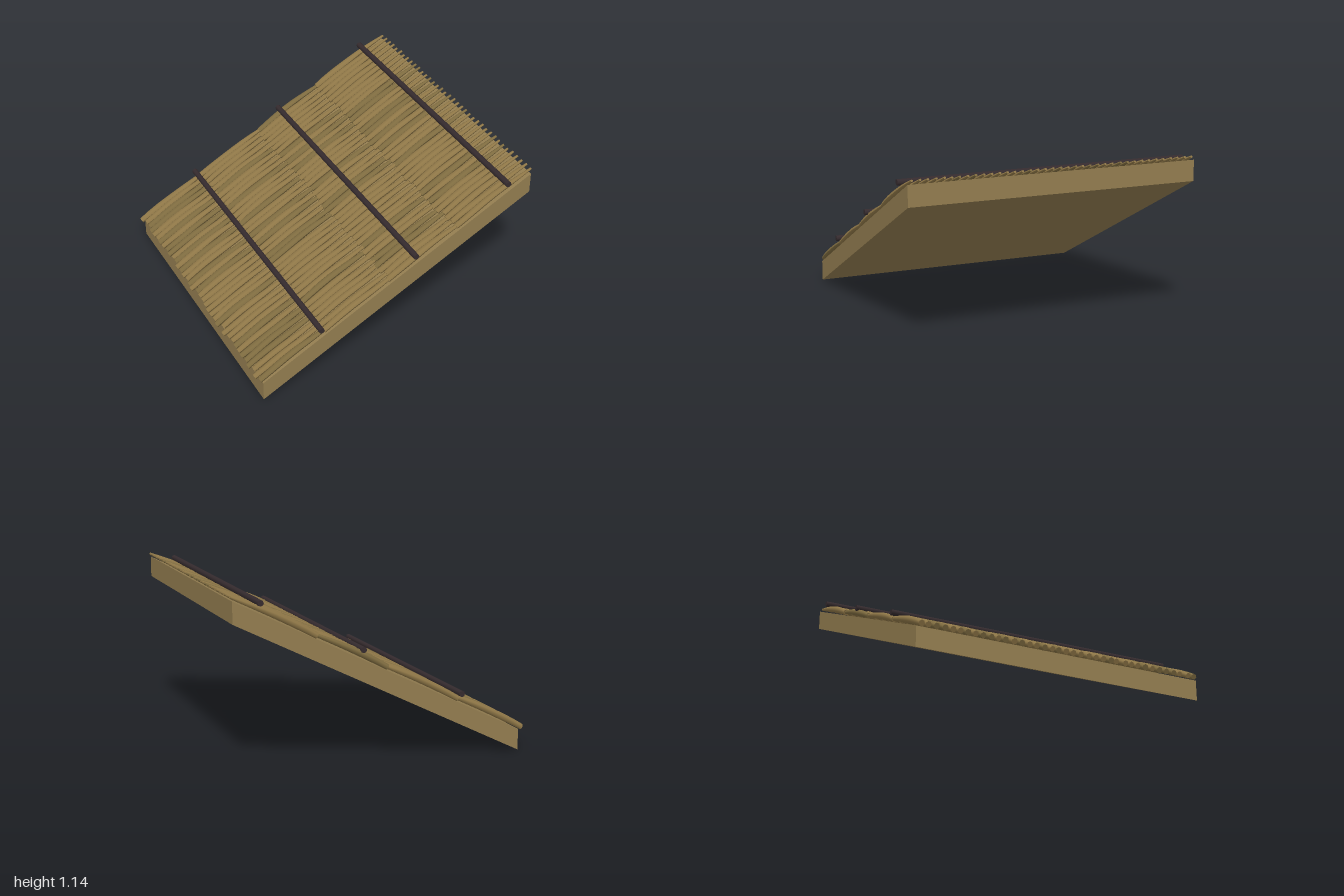
import * as THREE from 'three';
import { mergeGeometries } from 'three/addons/utils/BufferGeometryUtils.js';

const SLOPE = Math.atan(0.5);
const COS = Math.cos(SLOPE);

function seeded(seed) {
  return () => {
    seed = (seed * 16807) % 2147483647;
    return seed / 2147483647;
  };
}

// One tapered reed along +x, bowed upwards in its middle; y is height above the board
function reed(x0, x1, z, rand) {
  const g = new THREE.CylinderGeometry(1, 1, 1, 7, 8);
  g.rotateZ(-Math.PI / 2);
  const p = g.attributes.position;
  const bend = (rand() - 0.5) * 0.012;
  const fat = 0.94 + rand() * 0.12;
  const phase = rand() * 6.28;
  for (let i = 0; i < p.count; i++) {
    const t = p.getX(i) + 0.5;
    const bow = Math.sin(Math.PI * Math.pow(t, 0.9));
    const r = fat * (0.019 - 0.011 * t * t + 0.005 * bow);
    const lift = 0.021 - 0.004 * t + 0.012 * bow;
    const sway = bend * bow + 0.002 * Math.sin(t * 9 + phase);
    p.setXYZ(i, x0 + (x1 - x0) * t, lift + p.getY(i) * r, z + sway + p.getZ(i) * r);
  }
  g.computeVertexNormals();
  return g;
}

export function createModel() {
  const root = new THREE.Group();
  root.name = 'thatchedRoofPanel';
  const board = new THREE.MeshStandardMaterial({ color: 0x937d50 });
  board.name = 'board tan';
  const straw = new THREE.MeshStandardMaterial({ color: 0x8f7747 });
  straw.name = 'straw';
  const dryStraw = new THREE.MeshStandardMaterial({ color: 0x7f6c40 });
  dryStraw.name = 'dark straw';
  const pole = new THREE.MeshStandardMaterial({ color: 0x352b2e });
  pole.name = 'dark pole';

  // Sloping base board with upright ends
  const side = new THREE.Shape([
    new THREE.Vector2(-0.965, 0), new THREE.Vector2(0.975, 0.97),
    new THREE.Vector2(0.975, 1.11), new THREE.Vector2(-0.965, 0.14),
  ]);
  const slabGeo = new THREE.ExtrudeGeometry(side, { depth: 1.936, bevelEnabled: false });
  slabGeo.translate(0, 0, -0.968);
  const slab = new THREE.Mesh(slabGeo, board);
  slab.name = 'baseBoard';
  root.add(slab);

  // Thatch lies in the tilted plane of the board's top face
  const thatch = new THREE.Group();
  thatch.name = 'thatch';
  thatch.position.y = 0.6225;
  thatch.rotation.z = SLOPE;
  root.add(thatch);

  const rand = seeded(4711);
  const rows = 38;
  const starts = [-0.975, -0.51, -0.04, 0.435];
  starts.forEach((start, course) => {
    const sets = [[], []];
    for (let i = 0; i < rows; i++) {
      const z = -0.945 + (1.89 * i) / (rows - 1);
      const x0 = start + (rand() - 0.5) * 0.03;
      const x1 = start + 0.555 + rand() * 0.01;
      sets[rand() < 0.7 ? 0 : 1].push(reed(x0 / COS, x1 / COS, z, rand));
    }
    sets.forEach((set, k) => {
      if (!set.length) return;
      const mesh = new THREE.Mesh(mergeGeometries(set), k ? dryStraw : straw);
      mesh.name = (k ? 'darkReedCourse' : 'reedCourse') + (course + 1);
      thatch.add(mesh);
    });
  });

  // Three poles holding the thatch down
  [[-0.55, 0.413], [0.13, 0.753], [0.8, 1.09]].forEach(([x, y], i) => {
    const g = new THREE.CylinderGeometry(0.02, 0.02, 1.956, 8);
    g.rotateX(Math.PI / 2);
    const rod = new THREE.Mesh(g, pole);
    rod.name = 'bindingPole' + (i + 1);
    rod.position.set(x, y, 0);
    root.add(rod);
  });

  return root;
}
